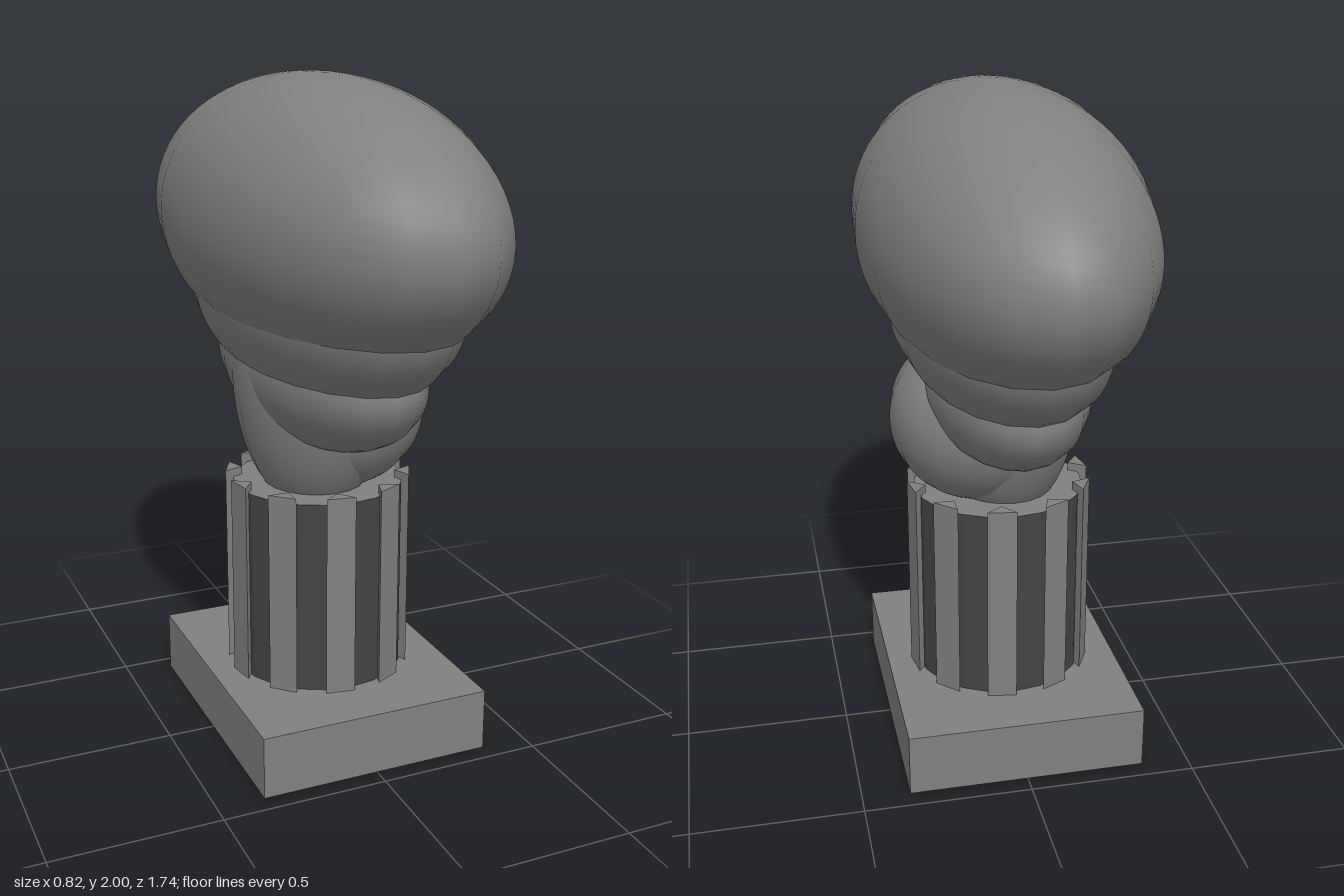
import * as THREE from 'three';

const smooth = new THREE.MeshStandardMaterial({ color: 0x808080 });
const flat = new THREE.MeshStandardMaterial({ color: 0x808080, flatShading: true });
const dark = new THREE.MeshStandardMaterial({ color: 0x444444, flatShading: true });

function addMesh(parent, name, geometry, material) {
  const mesh = new THREE.Mesh(geometry, material);
  mesh.name = name;
  parent.add(mesh);
  return mesh;
}

// Ellipsoid with 20 meridians and fine rings
function addEllipsoid(parent, name, [x, y, z], [rx, ry, rz]) {
  const geometry = new THREE.SphereGeometry(1, 20, 36).scale(rx, ry, rz);
  addMesh(parent, name, geometry, smooth).position.set(x, y, z);
}

export function createModel() {
  const model = new THREE.Group();
  model.name = 'pedestalSculpture';

  // Rectangular plinth
  const baseTop = 0.19;
  addMesh(model, 'plinth', new THREE.BoxGeometry(0.715, baseTop, 0.89), flat)
    .position.y = baseTop / 2;

  // Fluted column: a dark core with a pale top and ten raised ribs
  const column = new THREE.Group();
  column.name = 'column';
  column.position.y = baseTop;
  model.add(column);

  const coreRadius = 0.26;
  const coreHeight = 0.595;
  addMesh(column, 'columnCore',
    new THREE.CylinderGeometry(coreRadius, coreRadius, coreHeight, 20, 1, true), dark)
    .position.y = coreHeight / 2;
  addMesh(column, 'columnTop', new THREE.CircleGeometry(coreRadius, 20).rotateX(-Math.PI / 2), flat)
    .position.y = coreHeight;

  // Wedge ribs: flat outer face, narrowing inward
  const step = Math.PI / 10;
  const corner = (r, a) => new THREE.Vector2(r * Math.sin(a), -r * Math.cos(a));
  const ribShape = new THREE.Shape([
    corner(0.235, -step / 2), corner(0.283, 0), corner(0.283, -step),
  ]);
  const ribGeometry = new THREE.ExtrudeGeometry(ribShape, { depth: 0.62, bevelEnabled: false })
    .rotateX(-Math.PI / 2);
  for (let i = 0; i < 10; i++) {
    addMesh(column, 'columnRib', ribGeometry, flat).rotation.y = i * step * 2;
  }

  // Two rounded supports resting in the column
  addEllipsoid(model, 'rightSupport', [-0.015, 1.13, 0], [0.24, 0.45, 0.265]);
  addEllipsoid(model, 'leftSupport', [0.068, 1.02, 0], [0.262, 0.262, 0.262]);

  // Stacked elongated body, growing upward
  addEllipsoid(model, 'lowerBody', [0, 1.155, 0], [0.25, 0.243, 0.54]);
  addEllipsoid(model, 'middleBody', [0, 1.385, 0], [0.326, 0.326, 0.695]);
  addEllipsoid(model, 'upperBody', [0, 1.59, 0], [0.412, 0.41, 0.872]);

  return model;
}
